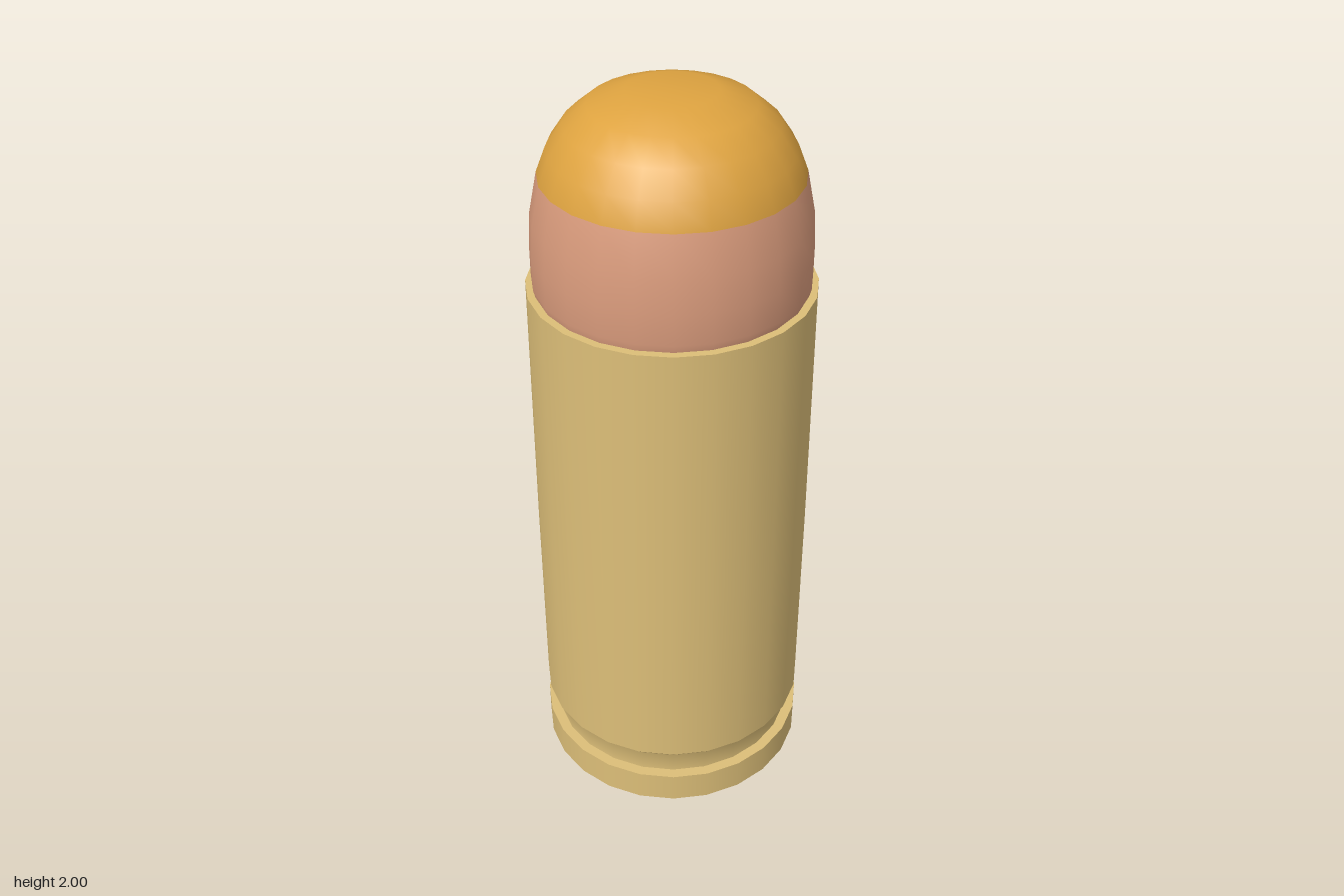
import * as THREE from 'three';

const SIDES = 24;

// Turn a smooth surface from [radius, height] pairs, listed bottom to top
function turn(profile) {
  return new THREE.LatheGeometry(profile.map(([r, y]) => new THREE.Vector2(r, y)), SIDES);
}

export function createModel() {
  const group = new THREE.Group();
  const brass = new THREE.MeshStandardMaterial({ color: 0xdcbe78 });
  brass.name = 'brass';
  const copper = new THREE.MeshStandardMaterial({ color: 0xd99b7c });
  copper.name = 'copper';
  const amber = new THREE.MeshStandardMaterial({ color: 0xdea340 });
  amber.name = 'amber';

  const add = (parent, name, profile) => {
    const mesh = new THREE.Mesh(turn(profile), brass);
    mesh.name = name;
    parent.add(mesh);
  };

  // Case: each turned section is separate so its edges stay sharp
  const casing = new THREE.Group();
  casing.name = 'case';
  group.add(casing);
  add(casing, 'base', [[0, 0], [0.373, 0]]);
  add(casing, 'rim', [[0.373, 0], [0.373, 0.09]]);
  add(casing, 'rimTop', [[0.373, 0.09], [0.344, 0.09]]);
  add(casing, 'extractorGroove', [[0.344, 0.09], [0.344, 0.15], [0.372, 0.182]]);
  add(casing, 'caseWall', [[0.372, 0.182], [0.372, 0.75], [0.368, 1.5]]);
  add(casing, 'caseMouth', [[0.368, 1.5], [0.34, 1.5]]);

  // Bullet: one smooth dome, copper below and amber above
  const dome = [
    [0.345, 1.49], [0.353, 1.52], [0.353, 1.6], [0.347, 1.69], [0.326, 1.795],
    [0.301, 1.86], [0.26, 1.92], [0.202, 1.968], [0.112, 2], [0, 2],
  ];
  const jacketBands = 4;
  const geometry = turn(dome);
  const perSide = geometry.index.count / SIDES;
  for (let i = 0; i < SIDES; i++) {
    geometry.addGroup(i * perSide, jacketBands * 6, 0);
    geometry.addGroup(i * perSide + jacketBands * 6, perSide - jacketBands * 6, 1);
  }
  const bullet = new THREE.Mesh(geometry, [copper, amber]);
  bullet.name = 'bullet';
  group.add(bullet);

  return group;
}
